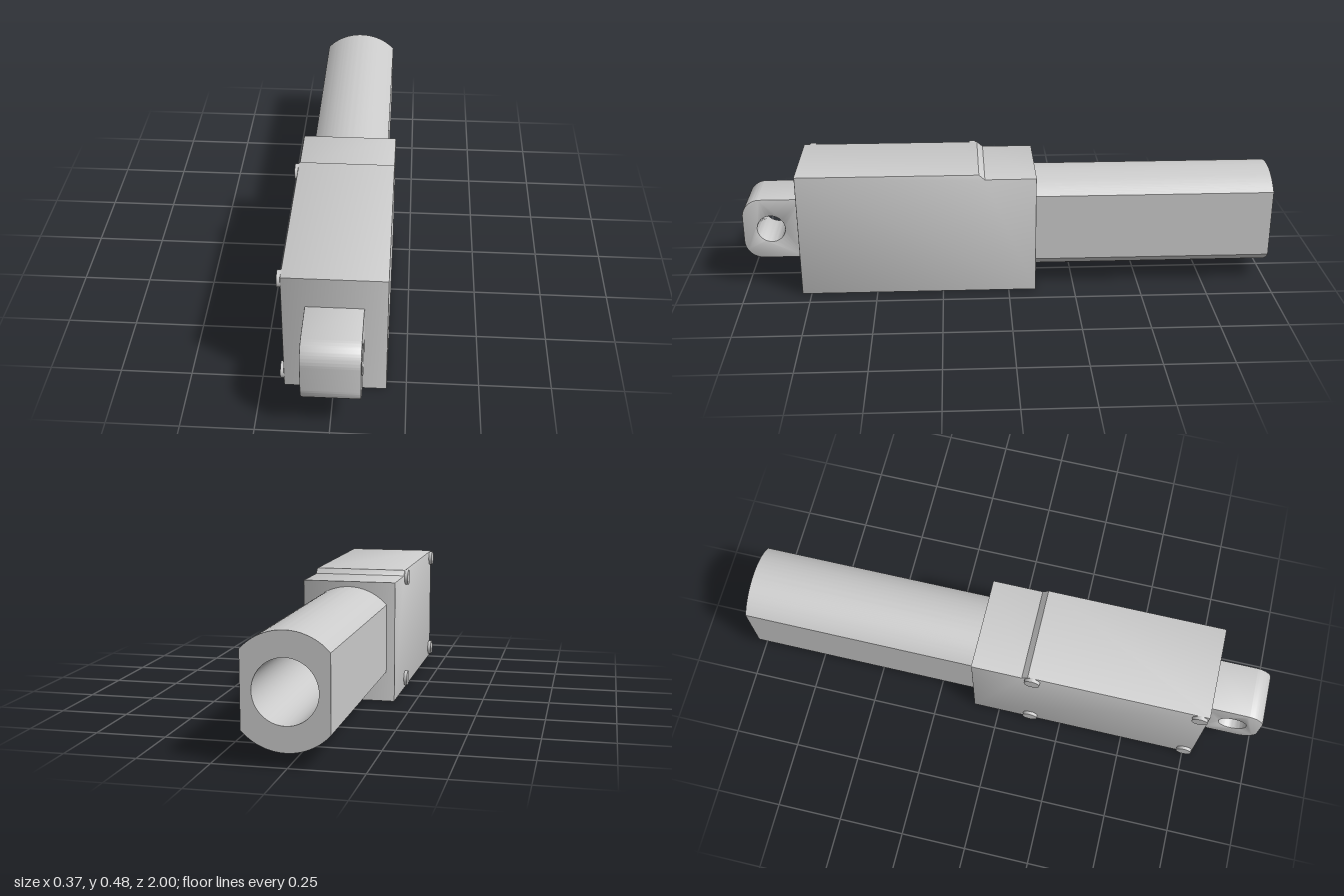
import * as THREE from 'three';
import { toCreasedNormals } from 'three/addons/utils/BufferGeometryUtils.js';

const CX = 0.005;   // body axis, offset by the screw heads on one side
const AXIS_Y = 0.243;

export function createModel() {
  const model = new THREE.Group();
  model.name = 'linearActuator';
  const material = new THREE.MeshStandardMaterial({ color: 0xcccccc });

  const add = (name, geometry, x, y, z) => {
    const mesh = new THREE.Mesh(geometry, material);
    mesh.name = name;
    mesh.position.set(x, y, z);
    model.add(mesh);
    return mesh;
  };

  const extrude = (shape, depth, bevel = 0) => {
    const g = new THREE.ExtrudeGeometry(shape, {
      depth: depth - 2 * bevel, curveSegments: 24,
      bevelEnabled: bevel > 0, bevelThickness: bevel, bevelSize: bevel,
      bevelOffset: -bevel, bevelSegments: 2,
    });
    g.translate(0, 0, bevel - depth / 2);
    return toCreasedNormals(g, 0.6);
  };

  // Side profile (z, y) extruded across the width
  const extrudeSide = (shape, width, bevel) => extrude(shape, width, bevel).rotateY(-Math.PI / 2);

  // Housing with a stepped top
  const housing = new THREE.Shape([
    [-0.103, 0], [0.785, 0], [0.785, 0.476], [0.11, 0.476], [0.088, 0.457], [-0.103, 0.457],
  ].map(([z, y]) => new THREE.Vector2(z, y)));
  add('housing', extrudeSide(housing, 0.355, 0.004), CX, 0, 0);

  // Mounting lug with rounded outer corners and a cross hole
  const r = 0.07, h = 0.119, end = 1, root = 0.775;
  const lug = new THREE.Shape();
  lug.moveTo(root, -h);
  lug.lineTo(end - r, -h);
  lug.absarc(end - r, -h + r, r, -Math.PI / 2, 0, false);
  lug.absarc(end - r, h - r, r, 0, Math.PI / 2, false);
  lug.lineTo(root, h);
  lug.closePath();
  lug.holes.push(new THREE.Path().absarc(0.895, 0, 0.052, 0, Math.PI * 2, true));
  add('mountingLug', extrudeSide(lug, 0.198, 0.003), CX, 0.239, 0);

  // Round tube with two flattened sides and a bore
  const R = 0.194, a = Math.acos(0.145 / R);
  const tube = new THREE.Shape();
  tube.absarc(0, 0, R, a, Math.PI - a, false);
  tube.absarc(0, 0, R, Math.PI + a, Math.PI * 2 - a, false);
  tube.closePath();
  tube.holes.push(new THREE.Path().absarc(0, 0, 0.108, 0, Math.PI * 2, true));
  add('tube', extrude(tube, 0.9), CX, AXIS_Y, -0.55);

  // Four screw heads on the right side
  const screw = new THREE.CylinderGeometry(0.029, 0.029, 0.023, 32).rotateZ(Math.PI / 2);
  for (const z of [0.128, 0.752]) {
    for (const y of [0.041, 0.447]) add('screwHead', screw, -0.1735, y, z);
  }

  return model;
}
